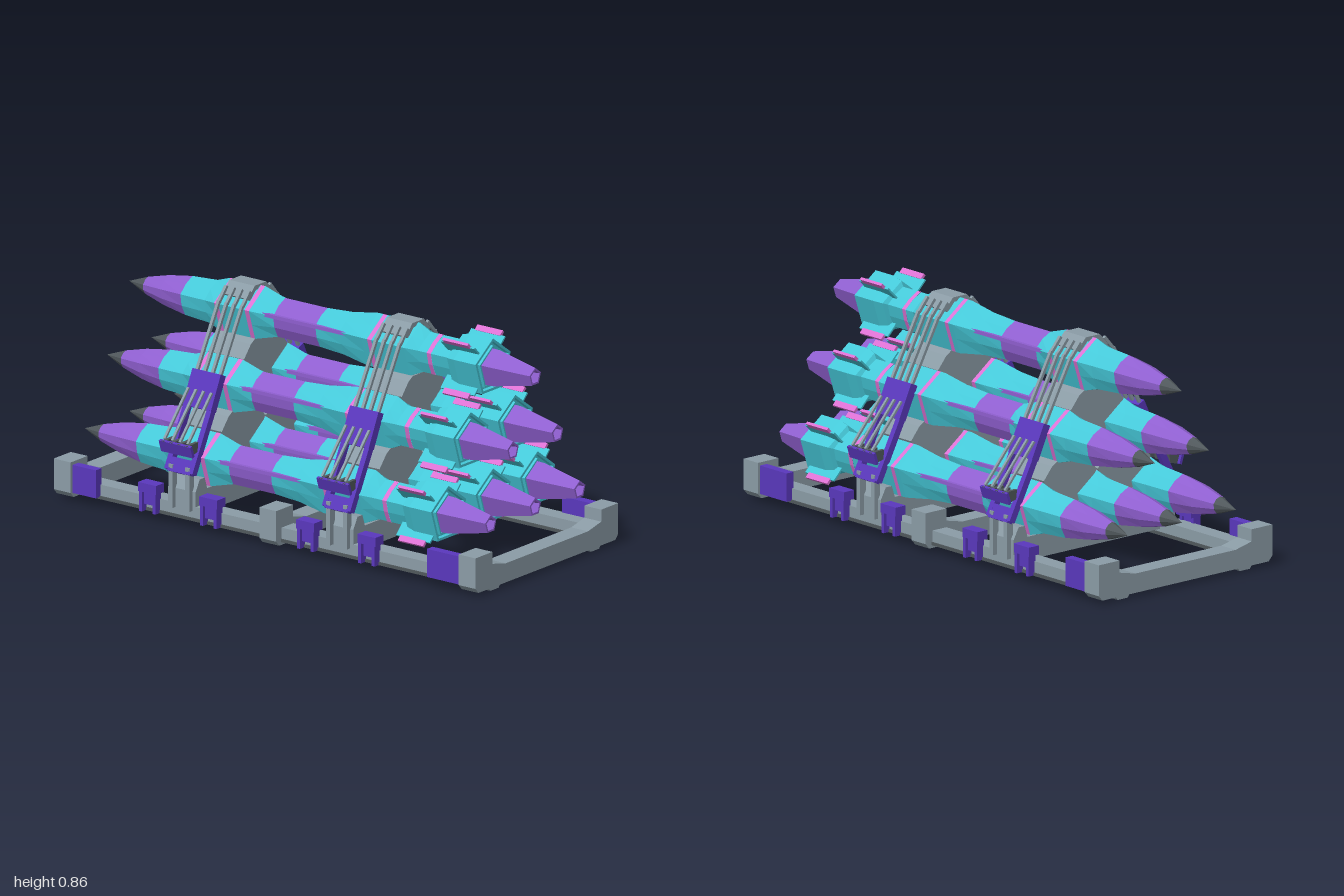
import * as THREE from 'three';

const mat = (color) => new THREE.MeshStandardMaterial({ color, flatShading: true, side: THREE.DoubleSide });
const M = {
  teal: mat(0x45c8d8), purple: mat(0x8f5fd0), pink: mat(0xdd72d4), indigo: mat(0x5a38bd),
  steel: mat(0x8b9ca6), dark: mat(0x50585c),
};

function add(parent, name, geometry, material, x = 0, y = 0, z = 0) {
  const m = new THREE.Mesh(geometry, material);
  m.name = name;
  m.position.set(x, y, z);
  parent.add(m);
  return m;
}
const box = (parent, name, material, w, h, d, x, y, z) =>
  add(parent, name, new THREE.BoxGeometry(w, h, d), material, x, y, z);

// Straight bar between two points of the xy plane
function bar(parent, name, material, [x1, y1], [x2, y2], thick, depth, z) {
  const m = box(parent, name, material, Math.hypot(x2 - x1, y2 - y1), thick, depth, (x1 + x2) / 2, (y1 + y2) / 2, z);
  m.rotation.z = Math.atan2(y2 - y1, x2 - x1);
  return m;
}

// Outline in xy extruded along z, centred on z = 0
function slab(points, depth) {
  const shape = new THREE.Shape(points.map(([x, y]) => new THREE.Vector2(x, y)));
  return new THREE.ExtrudeGeometry(shape, { depth, bevelEnabled: false }).translate(0, 0, -depth / 2);
}
const mirrored = (half) => [...half, ...half.map(([x, y]) => [-x, y]).reverse()];

// Loft of pentagons along z; sections are [z, radius, roundness 0..1]
function loft(sections) {
  const pos = [], index = [], n = 10;
  for (const [z, r, round = 0] of sections) {
    for (let j = 0; j < n; j++) {
      const a = Math.PI / 2 + (j / n) * Math.PI * 2;
      const k = j % 2 ? r * THREE.MathUtils.lerp(Math.cos(Math.PI / 5), 1, round) : r;
      pos.push(k * Math.cos(a), k * Math.sin(a), z);
    }
  }
  for (let i = 0; i < sections.length - 1; i++) {
    for (let j = 0; j < n; j++) {
      const a = i * n + j, b = i * n + (j + 1) % n;
      index.push(a, b, b + n, a, b + n, a + n);
    }
  }
  const g = new THREE.BufferGeometry();
  g.setAttribute('position', new THREE.Float32BufferAttribute(pos, 3));
  g.setIndex(index);
  const flat = g.toNonIndexed();
  flat.computeVertexNormals();
  return flat;
}

function createMissile() {
  const g = new THREE.Group();
  g.name = 'missile';
  const part = (name, m, s) => add(g, name, loft(s), M[m]);
  part('noseTip', 'dark', [[-0.98, 0, 1], [-0.89, 0.034, 0.8]]);
  part('noseCone', 'purple', [[-0.89, 0.034, 0.8], [-0.79, 0.06, 0.7], [-0.68, 0.078, 0.5]]);
  part('foreBody', 'teal', [[-0.68, 0.078, 0.5], [-0.56, 0.086, 0.4], [-0.5, 0.106]]);
  part('foreBandFront', 'pink', [[-0.5, 0.106], [-0.48, 0.106]]);
  part('foreCollar', 'teal', [[-0.48, 0.106], [-0.355, 0.106]]);
  part('foreBandBack', 'pink', [[-0.355, 0.106], [-0.335, 0.106]]);
  part('foreTaper', 'teal', [[-0.335, 0.106], [-0.24, 0.078, 0.5]]);
  part('waist', 'purple', [[-0.24, 0.078, 0.5], [-0.04, 0.078, 0.5]]);
  part('midTaper', 'teal', [[-0.04, 0.078, 0.5], [0.08, 0.086, 0.3], [0.2, 0.106], [0.225, 0.106]]);
  part('midBand', 'pink', [[0.225, 0.106], [0.245, 0.106]]);
  part('midCollar', 'teal', [[0.245, 0.106], [0.38, 0.106], [0.4, 0.106], [0.45, 0.08, 0.3], [0.49, 0.08, 0.3]]);
  part('aftBand', 'pink', [[0.49, 0.081, 0.3], [0.51, 0.081, 0.3]]);
  part('aftBody', 'teal', [[0.51, 0.08, 0.3], [0.59, 0.08, 0.3]]);
  part('tailShroud', 'teal', [[0.59, 0.08], [0.6, 0.1], [0.64, 0.112], [0.745, 0.112], [0.745, 0.1],
    [0.73, 0.098], [0.73, 0.086], [0.745, 0.084], [0.745, 0.076], [0.7, 0.07]]);
  part('nozzle', 'purple', [[0.68, 0.076], [0.78, 0.072], [0.945, 0.036], [0.945, 0.027], [0.9, 0.02], [0.9, 0]]);

  // Diagonal fins with coloured tips
  for (let i = 0; i < 4; i++) {
    const a = Math.PI / 4 + i * Math.PI / 2, c = Math.cos(a), s = Math.sin(a);
    bar(g, 'fin', M.teal, [c * 0.06, s * 0.06], [c * 0.132, s * 0.132], 0.007, 0.16, 0.65);
    bar(g, 'finTip', M.pink, [c * 0.128, s * 0.128], [c * 0.152, s * 0.152], 0.011, 0.12, 0.65);
  }
  // Cable ducts along the waist
  for (const x of [-0.076, 0.076]) box(g, 'cableDuct', M.purple, 0.014, 0.014, 0.42, x, 0.025, -0.08);
  return g;
}

// One retaining station: cradle, spacers, straps and tensioning levers
function createStation() {
  const g = new THREE.Group();
  g.name = 'retainingStation';
  add(g, 'cradle', slab(mirrored([
    [0.33, 0.05], [0.4, 0.08], [0.4, 0.14], [0.375, 0.185], [0.345, 0.185], [0.33, 0.14], [0.21, 0.14],
    [0.155, 0.218], [0.115, 0.218], [0.06, 0.14]]), 0.13), M.steel);
  // Spacers filling the gaps between three neighbouring missiles
  const spacer = slab(mirrored([[0.03, 0], [0.09, 0.04], [0.132, 0.11], [0.09, 0.16], [0.065, 0.175]]), 0.17);
  for (const [x, y] of [[0, 0.488], [-0.135, 0.238], [0.135, 0.238]]) add(g, 'spacer', spacer, M.steel, x, y, 0);
  add(g, 'topCap', slab(mirrored([[0.035, 0.858], [0.075, 0.815], [0.062, 0.805], [0.028, 0.84]]), 0.12), M.steel);

  for (const s of [-1, 1]) {
    const p = (x, y) => [s * x, y];
    for (const z of [-0.055, -0.018, 0.018, 0.055]) {
      bar(g, 'strap', M.steel, p(0.06, 0.842), p(0.105, 0.79), 0.012, 0.012, z);
      bar(g, 'strap', M.steel, p(0.105, 0.795), p(0.24, 0.55), 0.012, 0.012, z);
      bar(g, 'tieRod', M.steel, p(0.29, 0.5), p(0.435, 0.335), 0.009, 0.01, z);
      add(g, 'hook', slab([p(0.385, 0.295), p(0.43, 0.283), p(0.445, 0.33), p(0.38, 0.332)], 0.014), M.dark, 0, 0, z);
    }
    bar(g, 'hookPin', M.indigo, p(0.425, 0.285), p(0.44, 0.33), 0.012, 0.15, 0);
    // Lever frame
    bar(g, 'leverHead', M.indigo, p(0.235, 0.558), p(0.295, 0.43), 0.034, 0.135, 0);
    bar(g, 'leverFoot', M.indigo, p(0.388, 0.255), p(0.412, 0.205), 0.026, 0.11, 0);
    for (const z of [-0.056, 0.056]) bar(g, 'leverArm', M.indigo, p(0.29, 0.44), p(0.41, 0.21), 0.028, 0.022, z);
    // Anchor posts
    for (const z of [-0.04, 0.04]) box(g, 'anchorPost', M.steel, 0.028, 0.17, 0.02, s * 0.405, 0.15, z);
  }
  return g;
}

function createBase() {
  const g = new THREE.Group();
  g.name = 'baseFrame';
  const profile = mirrored([[0.415, 0.015], [0.433, 0.035], [0.433, 0.155], [0.33, 0.155], [0.33, 0.108], [0.25, 0.09]]);
  for (const [name, z, d] of [['frontRail', 0.96, 0.08], ['middleRail', 0.015, 0.08], ['backRail', -0.96, 0.08]]) {
    add(g, name, slab(profile, d), M.steel, 0, 0, z);
    for (const x of [-0.305, 0.305]) {
      add(g, 'foot', slab(mirrored([[0.025, 0], [0.038, 0.017]]), 0.06), M.steel, x, 0, z);
    }
  }
  for (const s of [-1, 1]) {
    box(g, 'sideRail', M.steel, 0.07, 0.045, 1.88, s * 0.365, 0.06, 0);
    box(g, 'sideRailSole', M.dark, 0.08, 0.012, 1.88, s * 0.365, 0.033, 0);
    for (const z of [-0.86, 0.84]) box(g, 'cornerBlock', M.indigo, 0.035, 0.11, z > 0 ? 0.15 : 0.11, s * 0.41, 0.09, z);
    // Clips gripping the side rails
    for (const z of [-0.56, -0.27, 0.19, 0.48]) {
      box(g, 'clipTop', M.indigo, 0.05, 0.035, 0.085, s * 0.405, 0.123, z);
      box(g, 'clipPlate', M.indigo, 0.012, 0.06, 0.075, s * 0.41, 0.085, z);
      for (const e of [-0.032, 0.032]) box(g, 'clipLeg', M.indigo, 0.035, 0.085, 0.014, s * 0.412, 0.07, z + e);
    }
  }
  return g;
}

export function createModel() {
  const model = new THREE.Group();
  model.name = 'missileRack';
  model.add(createBase());
  for (const z of [0.33, -0.418]) {
    const station = createStation();
    station.position.z = z;
    model.add(station);
  }
  // Pyramid of three, two and one
  for (let row = 0; row < 3; row++) {
    for (let i = 0; i < 3 - row; i++) {
      const missile = createMissile();
      missile.position.set((i - (2 - row) / 2) * 0.27, 0.237 + row * 0.255, 0);
      model.add(missile);
    }
  }
  return model;
}
